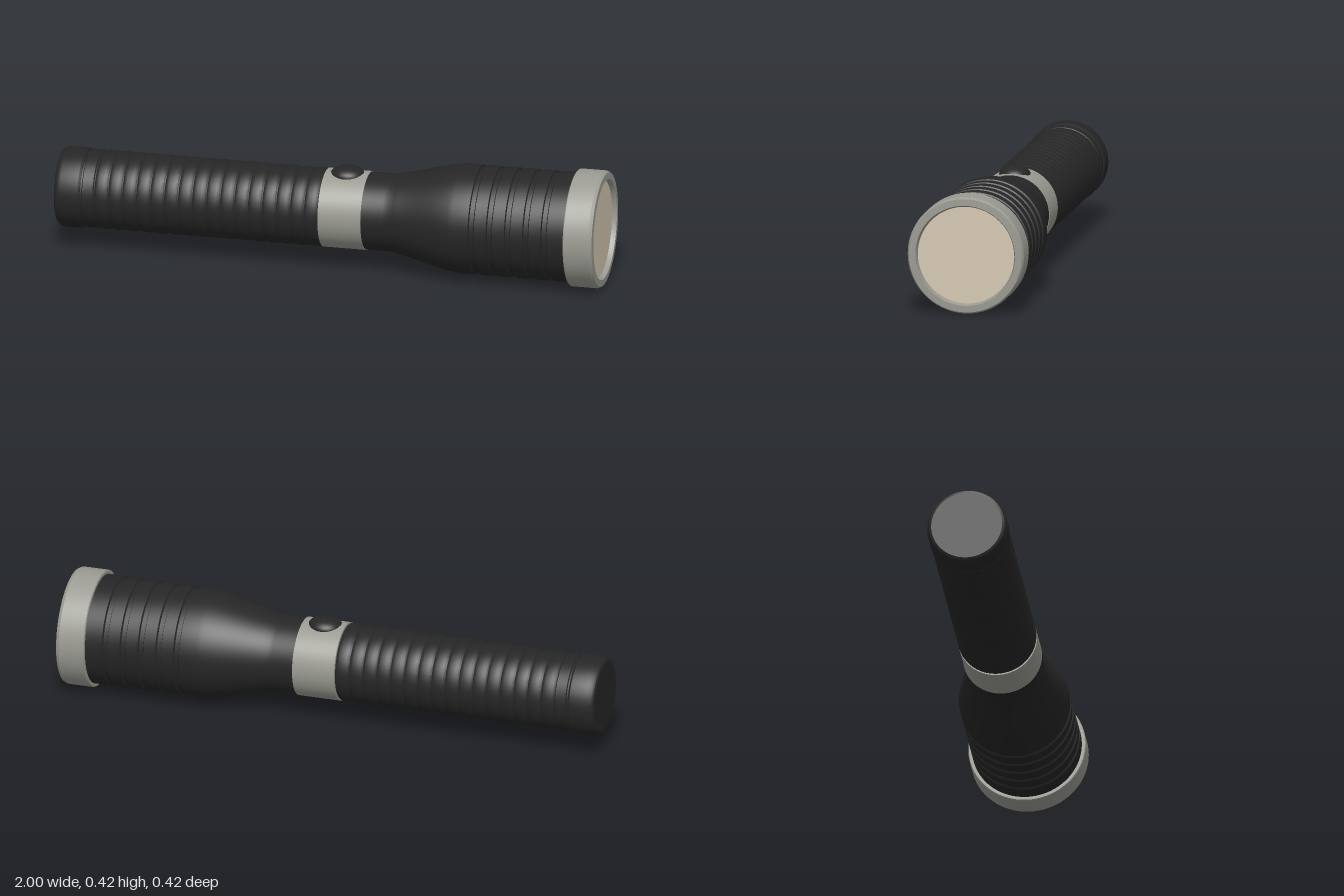
import * as THREE from 'three';
import { toCreasedNormals } from 'three/addons/utils/BufferGeometryUtils.js';

const AXIS_Y = 0.212;

function material(name, color) {
  const m = new THREE.MeshStandardMaterial({ color });
  m.name = name;
  return m;
}

// Turns a list of [x along the torch, radius] into a smooth body with sharp creases.
function turned(name, profile, mat) {
  const points = profile.map(([x, r]) => new THREE.Vector2(r, x));
  const geometry = toCreasedNormals(new THREE.LatheGeometry(points, 72), 0.45);
  geometry.rotateZ(-Math.PI / 2);
  const mesh = new THREE.Mesh(geometry, mat);
  mesh.name = name;
  mesh.position.y = AXIS_Y;
  return mesh;
}

export function createModel() {
  const group = new THREE.Group();
  group.name = 'flashlight';
  const black = material('black body', 0x262626);
  const grey = material('grey metal', 0x9b9b93);
  const glass = material('warm lens', 0xd6c9b2);

  // Tail cap with rounded rim
  group.add(turned('tailCap', [
    [-1, 0], [-1, 0.128], [-0.996, 0.136], [-0.988, 0.142], [-0.975, 0.145],
    [-0.91, 0.145], [-0.903, 0.141], [-0.903, 0.13],
  ], black));

  // Grip: plain band, then sixteen softly rounded rings
  const grip = [[-0.905, 0.137], [-0.897, 0.137], [-0.894, 0.141], [-0.856, 0.141], [-0.852, 0.137]];
  const pitch = 0.0515;
  for (let i = 0; i < 16; i++) {
    const x = -0.85 + i * pitch;
    grip.push([x, 0.137], [x + 0.005, 0.14], [x + 0.015, 0.142],
      [x + 0.035, 0.142], [x + 0.045, 0.14], [x + pitch - 0.002, 0.137]);
  }
  group.add(turned('grip', grip, black));

  // Switch collar
  group.add(turned('switchCollar', [
    [-0.026, 0.13], [-0.026, 0.142], [0.132, 0.142], [0.132, 0.13],
  ], grey));

  // Domed push button
  const button = new THREE.Mesh(new THREE.SphereGeometry(1, 40, 24), black);
  button.name = 'button';
  button.scale.set(0.063, 0.033, 0.056);
  button.position.set(0.052, AXIS_Y + 0.131, 0);
  group.add(button);

  // Head: neck, smooth flare and ribbed barrel
  const head = [[0.13, 0.14], [0.21, 0.14]];
  for (let i = 1; i <= 14; i++) {
    const t = i / 14;
    const ease = 0.5 * t + 0.5 * t * t * (3 - 2 * t);
    head.push([0.21 + 0.27 * t, 0.14 + 0.058 * ease]);
  }
  head[2][1] = 0.1405;
  for (let i = 0; i < 5; i++) {
    const x = 0.54 + i * 0.067;
    head.push([x, 0.198], [x + 0.003, 0.191], [x + 0.019, 0.191], [x + 0.023, 0.198]);
  }
  head.push([0.897, 0.198]);
  group.add(turned('head', head, black));

  // Bezel with chamfered rim and recessed inner lip
  group.add(turned('bezel', [
    [0.893, 0.19], [0.893, 0.209], [0.896, 0.212], [0.988, 0.212],
    [0.999, 0.206], [1, 0.182], [0.984, 0.176], [0.975, 0.176],
  ], grey));

  // Lens
  const lens = new THREE.Mesh(new THREE.CircleGeometry(0.177, 72), glass);
  lens.name = 'lens';
  lens.rotation.y = Math.PI / 2;
  lens.position.set(0.983, AXIS_Y, 0);
  group.add(lens);

  return group;
}
